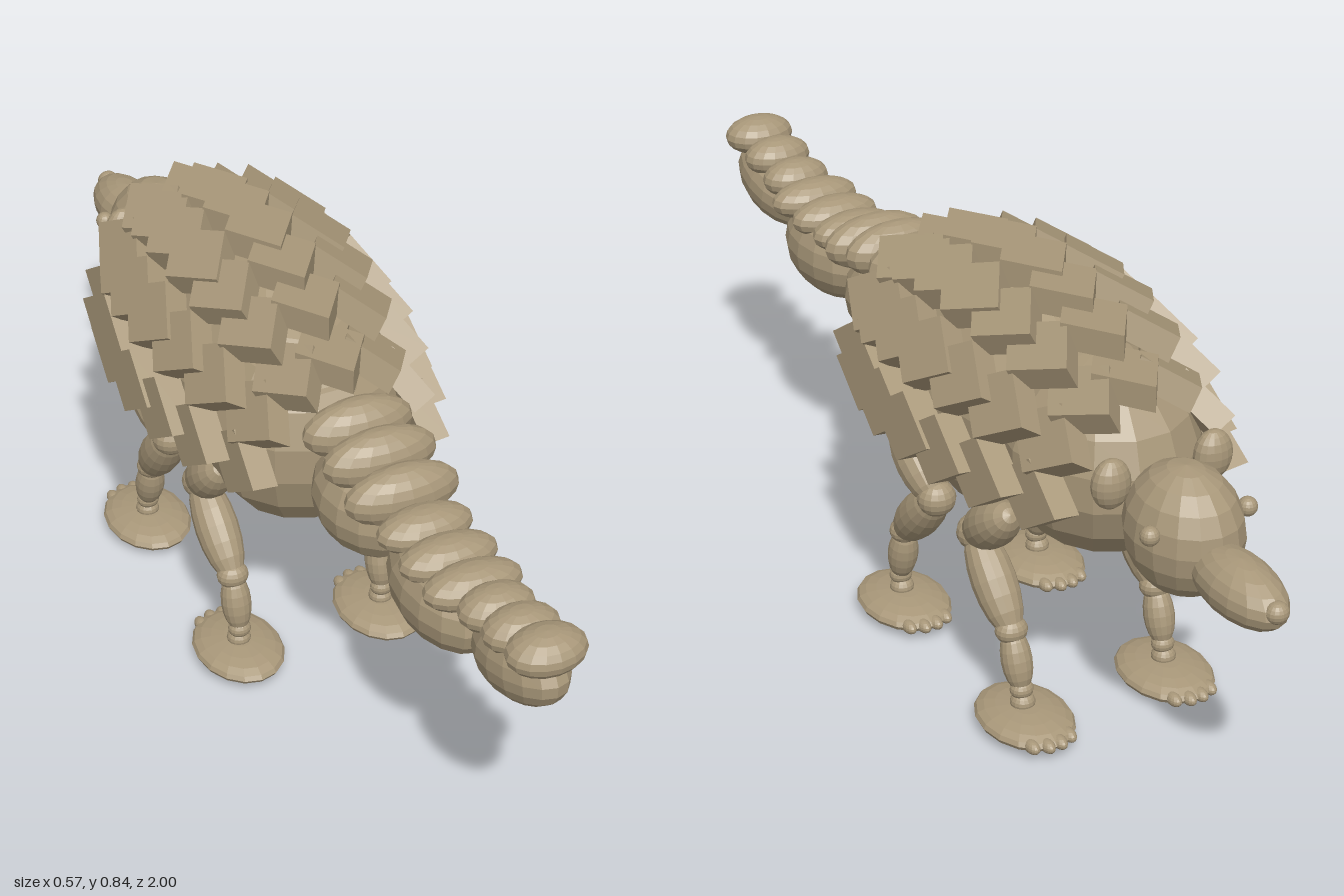
import * as THREE from 'three';

export function createModel() {
  const root = new THREE.Group();
  root.name = 'armouredAnimal';
  const hide = new THREE.MeshStandardMaterial({ color: 0xa89779, flatShading: true });
  hide.name = 'brown hide';

  const ball = new THREE.SphereGeometry(1, 16, 10);
  const bigBall = new THREE.SphereGeometry(1, 14, 9);

  function add(parent, name, geo, pos, scale) {
    const m = new THREE.Mesh(geo, hide);
    m.name = name;
    m.position.set(...pos);
    m.scale.set(...scale);
    parent.add(m);
    return m;
  }

  // Ellipsoid stretched between two joints
  function limb(parent, name, a, b, r, over = 0.015) {
    const p = new THREE.Vector3(...a), q = new THREE.Vector3(...b);
    const d = q.clone().sub(p);
    const m = add(parent, name, ball, p.clone().add(q).multiplyScalar(0.5).toArray(), [r, d.length() / 2 + over, r]);
    m.quaternion.setFromUnitVectors(new THREE.Vector3(0, 1, 0), d.normalize());
  }

  // Torso
  const torso = new THREE.Group();
  torso.name = 'torso';
  root.add(torso);
  add(torso, 'belly', bigBall, [0, 0.55, -0.15], [0.21, 0.245, 0.34]);
  add(torso, 'rump', bigBall, [0, 0.53, 0], [0.2, 0.215, 0.19]);
  add(torso, 'chest', bigBall, [0, 0.56, -0.42], [0.18, 0.195, 0.21]);

  // Diamond armour plates in rows along an ellipsoid
  const armour = new THREE.Group();
  armour.name = 'armour';
  root.add(armour);
  const halfW = 0.07, halfL = 0.1, thick = 0.05;
  const plate = new THREE.BoxGeometry(Math.SQRT2, thick, Math.SQRT2).rotateY(Math.PI / 4);
  plate.scale(halfW, 1, halfL);
  for (let row = 0; row < 7; row++) {
    const off = (row - 3) * 0.104;
    const k = Math.sqrt(1 - (off / 0.45) ** 2);
    for (let i = -3; i <= 3; i++) {
      const a = i * 0.49;
      const s = Math.sin(a), c = Math.cos(a);
      const m = add(armour, 'armourPlate', plate,
        [0.28 * k * s - s * thick / 2, 0.53 + 0.315 * k * c - c * thick / 2, -0.19 + off], [1, 1, 1]);
      m.rotation.z = -a;
    }
  }

  // Head
  const head = new THREE.Group();
  head.name = 'head';
  root.add(head);
  add(head, 'skull', ball, [0, 0.53, -0.7], [0.102, 0.123, 0.122]);
  add(head, 'snout', ball, [0, 0.503, -0.87], [0.062, 0.055, 0.122]).rotation.x = -0.04;
  add(head, 'nose', ball, [0, 0.51, -0.98], [0.022, 0.02, 0.02]);
  for (const s of [-1, 1]) {
    add(head, 'eye', ball, [s * 0.1, 0.565, -0.745], [0.018, 0.018, 0.018]);
    add(head, 'ear', ball, [s * 0.105, 0.61, -0.628], [0.038, 0.048, 0.028]);
  }

  // Tail: three big lobes with a chain of beads on top
  const tail = new THREE.Group();
  tail.name = 'tail';
  root.add(tail);
  add(tail, 'tailLobe', ball, [0, 0.54, 0.31], [0.11, 0.105, 0.135]);
  add(tail, 'tailLobe', ball, [0, 0.53, 0.595], [0.09, 0.095, 0.15]);
  add(tail, 'tailTip', ball, [0, 0.575, 0.865], [0.066, 0.07, 0.13]).rotation.x = -0.25;
  const beads = [
    [0.24, 0.65, 0.11], [0.33, 0.64, 0.113], [0.42, 0.62, 0.113],
    [0.51, 0.605, 0.093], [0.6, 0.603, 0.095], [0.69, 0.607, 0.095],
    [0.775, 0.62, 0.072], [0.86, 0.637, 0.072], [0.945, 0.655, 0.074],
  ];
  beads.forEach(([z, y, w], i) =>
    add(tail, 'tailBead', ball, [0, y, z], [w, i < 3 ? 0.056 : 0.04, i === 8 ? 0.055 : 0.05]));

  // Legs: joints listed from the hip down to the ankle as [y, z]
  const legs = {
    hindLeg: { foot: 0.035, joints: [[0.445, 0], [0.34, -0.115], [0.2, 0.02], [0.085, 0.045]] },
    frontLeg: { foot: -0.43, joints: [[0.445, -0.395], [0.345, -0.265], [0.195, -0.385], [0.085, -0.42]] },
  };
  for (const [name, { foot, joints }] of Object.entries(legs)) {
    for (const s of [-1, 1]) {
      const leg = new THREE.Group();
      leg.name = name;
      root.add(leg);
      const xs = [0.172, 0.162, 0.157, 0.155];
      const p = joints.map(([y, z], i) => [s * xs[i], y, z]);
      limb(leg, 'thigh', p[0], p[1], 0.046);
      limb(leg, 'shank', p[1], p[2], 0.043);
      limb(leg, 'ankle', p[2], p[3], 0.03, 0.005);
      add(leg, 'knee', ball, p[1], [0.038, 0.036, 0.036]);
      add(leg, 'heelJoint', ball, p[2], [0.032, 0.026, 0.028]);
      add(leg, 'ankleJoint', ball, p[3], [0.023, 0.019, 0.021]);
      add(leg, 'ankleBase', ball, [p[3][0], 0.06, p[3][2] - 0.004], [0.024, 0.02, 0.024]);
      add(leg, 'foot', ball, [s * 0.154, 0.03, foot], [0.087, 0.027, 0.115]);
      // Toes along the leading edge
      for (let t = -1.5; t <= 1.5; t++) {
        add(leg, 'toe', ball, [s * 0.154 + t * 0.026, 0.03, foot - 0.108 + Math.abs(t) * 0.011],
          [0.013, 0.013, 0.022]);
      }
    }
  }
  return root;
}
